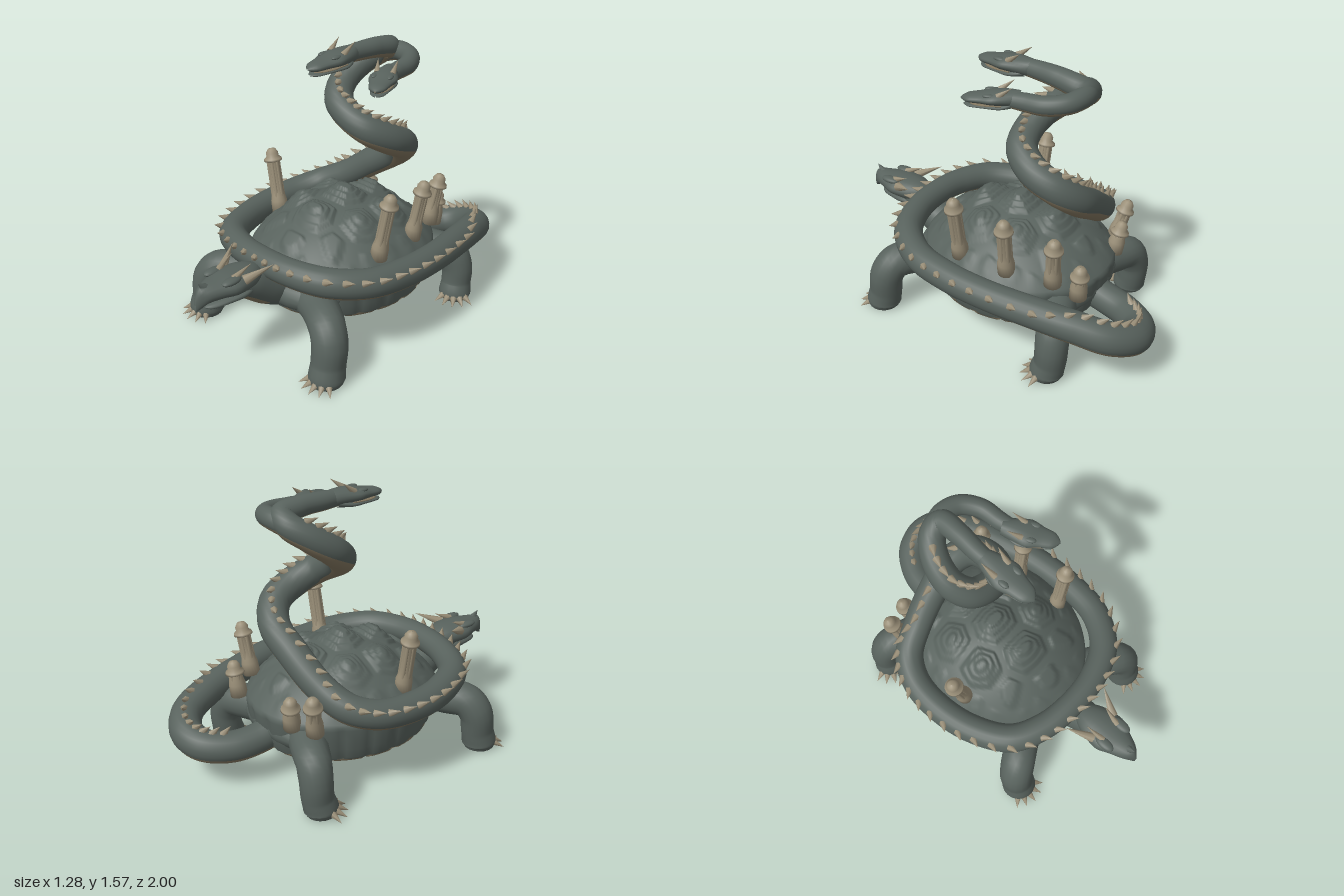
import * as THREE from 'three';
import { mergeGeometries } from 'three/addons/utils/BufferGeometryUtils.js';

const V = (x, y, z) => new THREE.Vector3(x, y, z);
const mat = (name, color) => Object.assign(new THREE.MeshStandardMaterial({ color }), { name });
const smooth = THREE.MathUtils.smoothstep;

// Skin over closed rings of points; isAlt(i, j) picks the second material
function skin(rings, isAlt = () => false) {
  const n = rings[0].length, main = [], alt = [];
  for (let i = 0; i < rings.length - 1; i++) for (let j = 0; j < n; j++) {
    const a = i * n + j, b = i * n + (j + 1) % n;
    (isAlt(i, j) ? alt : main).push(a, b, a + n, b, b + n, a + n);
  }
  const g = new THREE.BufferGeometry().setFromPoints(rings.flat());
  g.setIndex([...main, ...alt]);
  g.addGroup(0, main.length, 0);
  g.addGroup(main.length, alt.length, 1);
  g.computeVertexNormals();
  return g;
}

const ring = (c, N, B, rn, rb, n) => Array.from({ length: n }, (_, j) => {
  const a = (j + 0.5) / n * Math.PI * 2;
  return c.clone().addScaledVector(N, Math.cos(a) * rn).addScaledVector(B, Math.sin(a) * rb);
});

// Frames along a smooth path of [x, y, z, radius]; upAt gives the back direction
function frames(pts, steps, upAt) {
  const curve = new THREE.CatmullRomCurve3(pts.map(p => V(p[0], p[1], p[2])));
  return Array.from({ length: steps + 1 }, (_, i) => {
    const t = i / steps, f = t * (pts.length - 1), k = Math.min(Math.floor(f), pts.length - 2);
    const c = curve.getPoint(t), T = curve.getTangent(t), N = upAt(c);
    N.addScaledVector(T, -N.dot(T)).normalize();
    return { c, T, N, B: T.clone().cross(N), r: THREE.MathUtils.lerp(pts[k][3], pts[k + 1][3], f - k) };
  });
}
const sweep = (fr, n, isAlt) => skin(fr.map(f => ring(f.c, f.N, f.B, f.r, f.r, n)), isAlt);

// Loft along z through [z, y, half width, half height]
function loft(sections, isAlt) {
  const curve = new THREE.CatmullRomCurve3(sections.map(s => V(s[1], s[2], s[3])));
  const zs = new THREE.SplineCurve(sections.map((s, i) => new THREE.Vector2(i, s[0])));
  const rings = [];
  for (let i = 0; i <= 20; i++) {
    const p = curve.getPoint(i / 20), z = zs.getPoint(i / 20).y;
    rings.push(ring(V(0, p.x, z), V(0, 1, 0), V(-1, 0, 0), Math.max(p.z, 0.001), Math.max(p.y, 0.001), 18));
  }
  return skin(rings, isAlt);
}

// Cone from base a to tip b
function spike(a, b, r, sides = 7) {
  const d = b.clone().sub(a), g = new THREE.ConeGeometry(r, d.length(), sides);
  g.translate(0, d.length() / 2, 0);
  g.applyQuaternion(new THREE.Quaternion().setFromUnitVectors(V(0, 1, 0), d.normalize()));
  return g.translate(a.x, a.y, a.z);
}

export function createModel() {
  const root = new THREE.Group();
  const hide = mat('hide', 0x58625d), belly = mat('belly', 0x82765f), horn = mat('horn', 0x9c917a);
  const add = (name, geo, m, parent = root) => {
    const mesh = new THREE.Mesh(geo, m);
    mesh.name = name;
    parent.add(mesh);
    return mesh;
  };
  const ball = (x, y, z, a, b, c) => new THREE.SphereGeometry(1, 16, 12).scale(a, b, c).translate(x, y, z);

  // Shell: domed stepped scutes, ridged flank, grooved underside
  const cells = [];
  for (const z of [0.38, 0.17, -0.07, -0.31, -0.52]) cells.push([0, z, 0.055]);
  for (const s of [-1, 1]) for (const z of [0.28, 0.05, -0.19, -0.42]) cells.push([s * 0.25, z, 0.045]);
  for (let i = 0; i < 22; i++) {
    const a = (i + 0.5) / 22 * Math.PI * 2;
    cells.push([Math.cos(a) * 0.455, -0.06 + Math.sin(a) * 0.52, 0.025]);
  }
  const scute = (x, z) => {
    const s = cells.map(c => [Math.hypot(x - c[0], z - c[1]), c[2]]).sort((a, b) => a[0] - b[0]);
    const e = Math.min((s[1][0] - s[0][0]) / 0.18, 1) * 3, f = e - Math.floor(e);
    return s[0][1] * (Math.floor(e) + smooth(f, 0.65, 1)) / 3;
  };
  const groove = (x, z) => {
    const near = (v, step) => Math.abs(v / step - Math.round(v / step)) * step;
    return 0.012 * (1 - smooth(Math.min(near(x, 0.24), near(z + 0.05, 0.17)), 0, 0.022));
  };
  const shellRing = (r, yAt, ridge = 0) => Array.from({ length: 154 }, (_, j) => {
    const a = j / 154 * Math.PI * 2, k = r - ridge * Math.pow(Math.abs(Math.cos(a * 11)), 8);
    const x = Math.cos(a) * k * 0.485, z = -0.06 + Math.sin(a) * k * 0.55;
    return V(x, yAt(x, z), z);
  });
  const rings = [];
  for (let i = 0; i <= 54; i++) {
    const r = Math.max(i / 54, 0.001);
    rings.push(shellRing(r, (x, z) => 0.415 + 0.275 * Math.pow(1 - r * r, 0.92) + scute(x, z) * Math.min(1, (1 - r) * 6)));
  }
  for (const [r, y] of [[1.005, 0.395], [0.995, 0.34], [0.975, 0.275], [0.95, 0.22], [0.93, 0.205]]) rings.push(shellRing(r, () => y, 0.02));
  const rim = rings.length - 1;
  for (let i = 24; i >= 0; i--) {
    const r = Math.max(i / 24 * 0.925, 0.001);
    rings.push(shellRing(r, (x, z) => 0.162 + 0.045 * r ** 3 + groove(x, z)));
  }
  add('shell', skin(rings, i => i >= rim), [hide, belly]);
  add('shoulders', ball(0, 0.315, 0.37, 0.36, 0.105, 0.16), hide);
  add('hips', ball(0, 0.31, -0.44, 0.34, 0.1, 0.16), hide);

  // Legs with clawed feet
  const legs = {
    frontLeg: { turn: 0.05, path: [[0.12, 0.31, 0.36, 0.105], [0.3, 0.3, 0.43, 0.1], [0.42, 0.29, 0.505, 0.097], [0.468, 0.225, 0.535, 0.095],
      [0.472, 0.11, 0.55, 0.092], [0.475, 0.04, 0.565, 0.098], [0.475, 0.01, 0.565, 0.085], [0.475, 0.005, 0.565, 0.001]] },
    hindLeg: { turn: 0.55, path: [[0.12, 0.31, -0.4, 0.11], [0.3, 0.3, -0.49, 0.1], [0.41, 0.28, -0.54, 0.093], [0.45, 0.2, -0.555, 0.088],
      [0.455, 0.1, -0.55, 0.086], [0.46, 0.04, -0.535, 0.093], [0.46, 0.01, -0.535, 0.08], [0.46, 0.005, -0.535, 0.001]] },
  };
  for (const [name, { path, turn }] of Object.entries(legs)) for (const s of [1, -1]) {
    const [fx, , fz] = path[5];
    add(name, sweep(frames(path.map(p => [p[0] * s, p[1], p[2], p[3]]), 42, () => V(0, 0.15, 1)), 18), hide);
    const claws = [-2, -1, 0, 1, 2].map(k => {
      const a = s * turn + k * 0.42, at = (r, y) => V(s * fx + Math.sin(a) * r, y, fz + Math.cos(a) * r);
      return spike(at(0.08, 0.038), at(0.145, 0.01), 0.021);
    });
    add(name + 'Claws', mergeGeometries(claws), horn);
  }

  // Tortoise neck and beaked head
  add('neck', sweep(frames([[0, 0.31, 0.38, 0.115], [0, 0.37, 0.53, 0.105], [0, 0.44, 0.65, 0.09], [0, 0.475, 0.74, 0.07]], 20, () => V(0, 1, 0)), 20,
    (i, j) => i > 6 && j >= 8 && j <= 11), [hide, belly]);
  const head = new THREE.Group();
  head.name = 'head';
  root.add(head);
  add('skull', loft([[0.61, 0.495, 0.06, 0.045], [0.69, 0.5, 0.1, 0.062], [0.79, 0.505, 0.115, 0.06], [0.87, 0.505, 0.085, 0.052],
    [0.94, 0.5, 0.055, 0.05], [0.975, 0.485, 0.03, 0.055], [1, 0.45, 0.004, 0.03]]), hide, head);
  add('lowerJaw', loft([[0.62, 0.445, 0.05, 0.03], [0.73, 0.437, 0.088, 0.03], [0.84, 0.428, 0.065, 0.022], [0.91, 0.42, 0.035, 0.015], [0.94, 0.42, 0.003, 0.003]]), hide, head);
  add('noseHorn', spike(V(0, 0.535, 0.935), V(0, 0.575, 0.975), 0.025), hide, head);
  for (const s of [1, -1]) {
    add('brow', ball(s * 0.07, 0.55, 0.82, 0.03, 0.018, 0.06), hide, head);
    add('horns', mergeGeometries([
      spike(V(s * 0.085, 0.53, 0.75), V(s * 0.16, 0.595, 0.61), 0.028),
      spike(V(s * 0.06, 0.55, 0.8), V(s * 0.075, 0.6, 0.69), 0.02)]), horn, head);
  }

  // Serpent tail: from the rear, around the shell, then spiralling upward
  const R = 0.08;
  const trunk = [[0, 0.3, -0.45, 0.09], [0, 0.255, -0.61, 0.085], [0.03, 0.24, -0.76, 0.085], [0.12, 0.25, -0.88, 0.088], [0.24, 0.28, -0.91, 0.09],
    [0.36, 0.325, -0.84, 0.088], [0.43, 0.37, -0.68, 0.085], [0.48, 0.4, -0.48, 0.083], [0.53, 0.43, -0.2, R], [0.535, 0.45, 0.05, R],
    [0.495, 0.47, 0.27, R], [0.37, 0.495, 0.44, R], [0.18, 0.51, 0.52, 0.075], [0, 0.515, 0.535, 0.072], [-0.2, 0.505, 0.51, 0.075],
    [-0.38, 0.49, 0.42, R], [-0.49, 0.475, 0.22, R], [-0.53, 0.475, 0, R], [-0.51, 0.49, -0.2, R], [-0.43, 0.53, -0.33, R],
    [-0.28, 0.61, -0.4, R], [-0.1, 0.74, -0.44, 0.085], [0.06, 0.85, -0.45, 0.085], [0.155, 0.94, -0.38, 0.085], [0.17, 1.01, -0.25, 0.085],
    [0.11, 1.08, -0.14, 0.083], [0, 1.14, -0.11, R], [-0.1, 1.2, -0.135, R], [-0.15, 1.27, -0.22, 0.078], [-0.13, 1.35, -0.335, 0.073],
    [-0.06, 1.415, -0.42, 0.068], [0.005, 1.455, -0.42, 0.063], [0.01, 1.48, -0.3, 0.056], [0, 1.485, -0.17, 0.05], [0, 1.488, -0.03, 0.042]];
  // Outward lean along the low coil
  const lean = c => (1 - smooth(c.y, 0.5, 0.66)) * smooth(c.z, -0.75, -0.45);
  const under = (i, j) => j >= 7 && j <= 12;
  const fr = frames(trunk, 340, c => V(c.x, 0, c.z).normalize().multiplyScalar(0.15 * lean(c)).add(V(0, 1, 0)));
  add('serpentBody', sweep(fr, 20, under), [hide, belly]);
  // Broad thorns swept back along the spine
  const spines = [];
  for (let i = 22; i < 296; i += 4) {
    const { c, T, N, B, r } = fr[i], a = 0.85 * lean(c);
    const dir = N.clone().multiplyScalar(Math.cos(a)).addScaledVector(B, -Math.sin(a));
    const base = c.clone().addScaledVector(dir, r * 0.88).addScaledVector(T, 0.015);
    spines.push(spike(base, base.clone().addScaledVector(dir, 0.052).addScaledVector(T, -0.045), 0.022, 6));
  }
  add('spines', mergeGeometries(spines), horn);
  add('secondNeck', sweep(frames([[-0.06, 1.415, -0.42, 0.06], [0.04, 1.435, -0.455, 0.055], [0.14, 1.43, -0.43, 0.052], [0.205, 1.42, -0.34, 0.05],
    [0.22, 1.415, -0.22, 0.047], [0.245, 1.415, -0.11, 0.036]], 40, () => V(0, 1, 0)), 20, under), [hide, belly]);

  // Two serpent heads
  const serpentHead = (name, x, y, z, turn, scale) => {
    const g = new THREE.Group();
    g.name = name;
    g.position.set(x, y, z);
    g.rotation.y = turn;
    g.scale.setScalar(scale);
    root.add(g);
    add('skull', loft([[-0.08, 0, 0.045, 0.045], [0, 0.003, 0.07, 0.043], [0.07, 0.003, 0.084, 0.037], [0.14, -0.003, 0.064, 0.028], [0.21, -0.008, 0.048, 0.022], [0.25, -0.012, 0.004, 0.004]]), hide, g);
    add('lowerJaw', loft([[-0.05, -0.025, 0.04, 0.025], [0.03, -0.038, 0.074, 0.018], [0.12, -0.043, 0.058, 0.013], [0.2, -0.046, 0.04, 0.01], [0.235, -0.046, 0.003, 0.003]],
      (i, j) => j >= 7 && j <= 10), [hide, belly], g);
    add('mouthLining', loft([[0.02, -0.026, 0.066, 0.01], [0.1, -0.03, 0.064, 0.008], [0.17, -0.033, 0.046, 0.006], [0.21, -0.035, 0.003, 0.003]]), belly, g);
    for (const s of [1, -1]) {
      add('brow', ball(s * 0.046, 0.025, 0.09, 0.018, 0.011, 0.035), hide, g);
      add('horn', spike(V(s * 0.045, 0.025, 0.04), V(s * 0.058, 0.085, -0.04), 0.019), horn, g);
    }
  };
  serpentHead('upperSerpentHead', 0, 1.488, -0.05, 0, 1);
  serpentHead('sideSerpentHead', 0.235, 1.42, -0.13, 0.46, 0.9);

  // Fluted posts standing on the shell: base, then top
  const posts = [[-0.38, 0.49, 0.06, -0.455, 0.865, 0.05], [0.38, 0.49, 0.07, 0.45, 0.88, 0.06], [0.37, 0.49, -0.22, 0.43, 0.845, -0.24],
    [0.3, 0.47, -0.46, 0.345, 0.775, -0.49], [0.24, 0.4, -0.58, 0.26, 0.605, -0.6], [-0.34, 0.4, -0.48, -0.39, 0.64, -0.53], [-0.22, 0.4, -0.54, -0.25, 0.59, -0.57]];
  for (const [a, b, c, d, e, f] of posts) {
    const axis = V(d - a, e - b, f - c), h = axis.length();
    const profile = [[0.001, 0], [0.048, 0], [0.046, 0.07], [0.039, 0.1], [0.035, 0.14], [0.034, h - 0.08], [0.052, h - 0.074], [0.05, h - 0.062],
      [0.034, h - 0.048], [0.036, h - 0.028], [0.022, h - 0.006], [0.001, h]];
    const parts = [new THREE.LatheGeometry(profile.map(p => new THREE.Vector2(...p)), 20)];
    for (let k = 0; k < 6; k++) {
      const t = k / 6 * Math.PI * 2, len = h - 0.14;
      parts.push(new THREE.CylinderGeometry(0.011, 0.012, len, 8).translate(Math.cos(t) * 0.028, 0.065 + len / 2, Math.sin(t) * 0.028));
    }
    const post = add('post', mergeGeometries(parts), horn);
    post.position.set(a, b, c);
    post.quaternion.setFromUnitVectors(V(0, 1, 0), axis.normalize());
  }
  return root;
}
